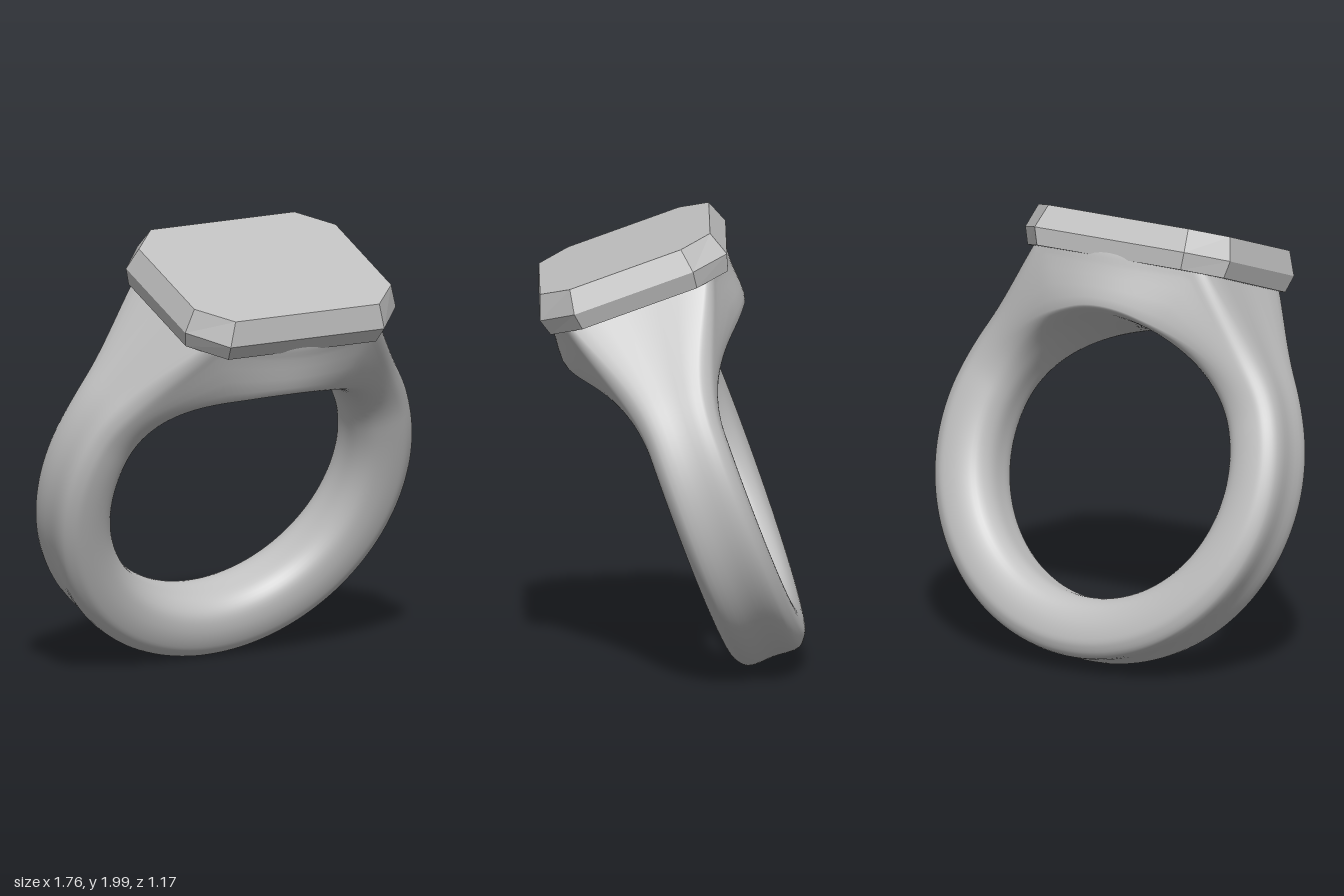
import * as THREE from 'three';

const DEG = Math.PI / 180;
const CENTRE_Y = 0.77, CENTRE_Z = -0.435; // ring centre before tilting
const INNER = 0.605, OUTER = 0.875;

// Outer radius: a circle, then straight shoulders, then a flat seat under the plate
function outerRadius(a) {
  if (a >= 55) return OUTER;
  return Math.min(OUTER / Math.cos((55 - a) * DEG), 0.93 / Math.cos(a * DEG));
}

// Closed cross-section at angle a (degrees from the top): [across, radius]
function section(a) {
  const ro = outerRadius(a), ri = INNER;
  const width = 0.17 + 0.25 * (1 - THREE.MathUtils.smoothstep(a, 0, 70));
  const head = 1 - THREE.MathUtils.smoothstep(a, 15, 60);
  const shank = [[0, ri], [0.5, ri + 0.008], [0.85, ri + 0.05], [1, ri + 0.12],
    [1, ro - 0.075], [0.93, ro - 0.04], [0.7, ro], [0, ro]];
  const top = [[0, ri], [0.5, ri + 0.01], [0.9, ri + 0.03], [1, ri + 0.05],
    [1, ro - 0.1], [1, ro - 0.03], [0.97, ro], [0, ro]];
  const half = shank.map((p, i) => new THREE.Vector3(
    width * THREE.MathUtils.lerp(p[0], top[i][0], head),
    THREE.MathUtils.lerp(p[1], top[i][1], head), 0));
  const mirrored = half.slice(1, -1).reverse().map(p => new THREE.Vector3(-p.x, p.y, 0));
  return new THREE.CatmullRomCurve3([...half, ...mirrored], true, 'centripetal');
}

// Sweep the changing section round the finger hole
function bandGeometry() {
  const around = 144, across = 56, pos = [], index = [];
  for (let i = 0; i < around; i++) {
    const deg = i * 360 / around, t = deg * DEG;
    const curve = section(Math.min(deg, 360 - deg));
    for (let j = 0; j < across; j++) {
      const p = curve.getPoint(j / across);
      pos.push(p.y * Math.sin(t), CENTRE_Y + p.y * Math.cos(t), CENTRE_Z + p.x);
      const i2 = (i + 1) % around, j2 = (j + 1) % across;
      const a = i * across + j, b = i2 * across + j, c = i2 * across + j2, d = i * across + j2;
      index.push(a, b, c, a, c, d);
    }
  }
  const g = new THREE.BufferGeometry();
  g.setAttribute('position', new THREE.Float32BufferAttribute(pos, 3));
  g.setIndex(index);
  g.computeVertexNormals();
  return g;
}

// Clipped-corner plate, lofted through three octagons with flat facets
function plateGeometry() {
  // y, half width, half depth, clipped half width, clipped half depth
  const layers = [
    [1.642, 0.512, 0.415, 0.375, 0.268],
    [1.719, 0.535, 0.438, 0.39, 0.278],
    [1.826, 0.5, 0.398, 0.365, 0.26],
  ];
  const pos = [], index = [];
  for (const [y, X, Z, cx, cz] of layers) {
    const ring = [[X, cz], [X, -cz], [cx, -Z], [-cx, -Z], [-X, -cz], [-X, cz], [-cx, Z], [cx, Z]];
    for (const [x, z] of ring) pos.push(x, y, CENTRE_Z + z);
  }
  for (let l = 0; l < 2; l++) {
    for (let i = 0; i < 8; i++) {
      const a = l * 8 + i, b = l * 8 + (i + 1) % 8;
      index.push(a, b, b + 8, a, b + 8, a + 8);
    }
  }
  for (let i = 1; i < 7; i++) {
    index.push(16, 16 + i, 17 + i); // top
    index.push(0, i + 1, i);        // underside
  }
  const g = new THREE.BufferGeometry();
  g.setAttribute('position', new THREE.Float32BufferAttribute(pos, 3));
  g.setIndex(index);
  const flat = g.toNonIndexed();
  flat.computeVertexNormals();
  return flat;
}

export function createModel() {
  const silver = new THREE.MeshStandardMaterial({ color: 0xc0c0c0 });
  silver.name = 'silver';

  const ring = new THREE.Group();
  ring.name = 'signetRing';

  const band = new THREE.Mesh(bandGeometry(), silver);
  band.name = 'band';
  const plate = new THREE.Mesh(plateGeometry(), silver);
  plate.name = 'facePlate';
  ring.add(band, plate);

  // Lean the whole ring towards the front
  ring.rotation.x = 20 * DEG;

  const model = new THREE.Group();
  model.name = 'ring';
  model.add(ring);
  return model;
}
